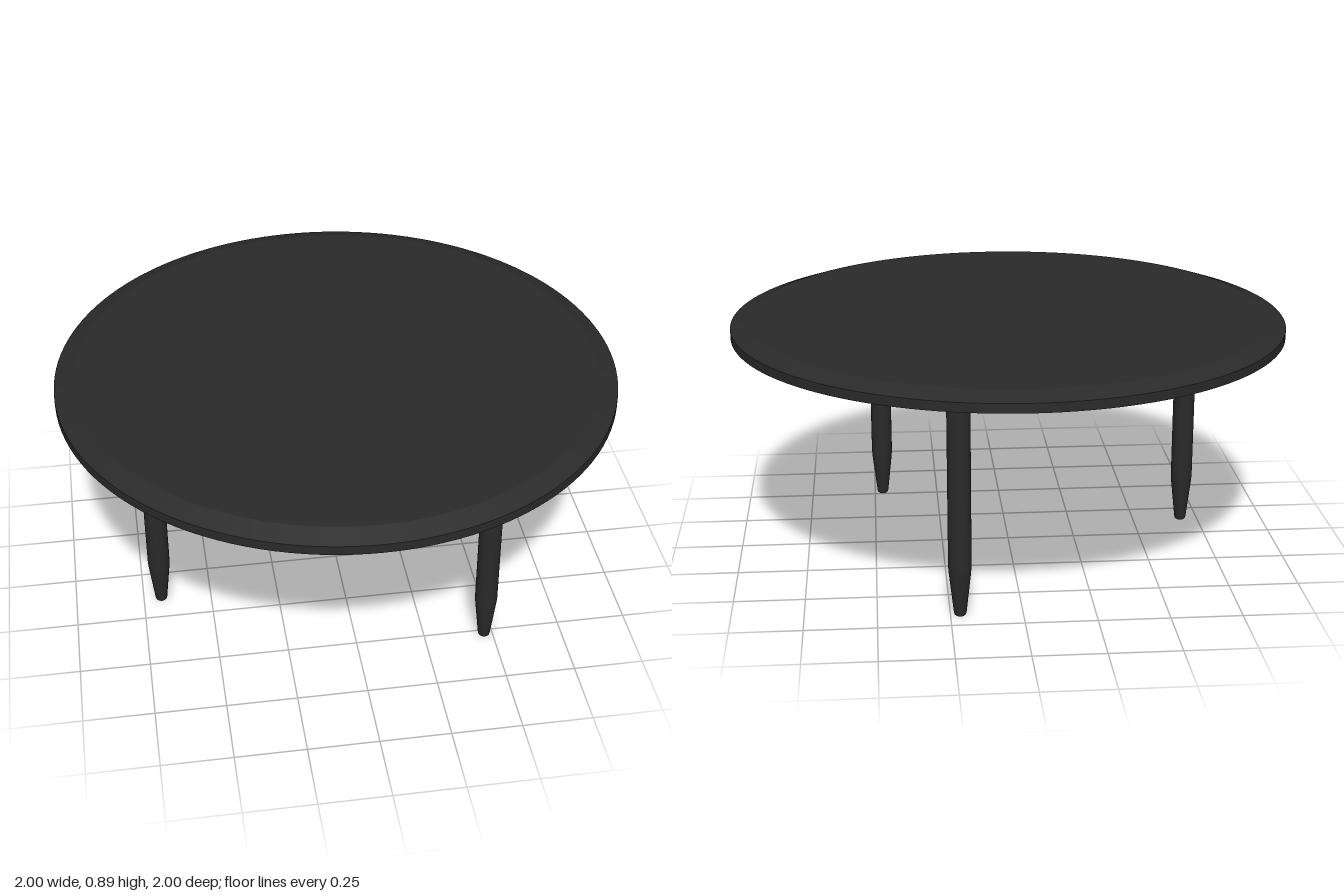
import * as THREE from 'three';
import { toCreasedNormals } from 'three/addons/utils/BufferGeometryUtils.js';

const TOP_BOTTOM = 0.835, TOP_HEIGHT = 0.892, LEG_RING = 0.7;

// Solid of revolution from [radius, height] pairs, bottom to top
function turned(profile, segments) {
  const points = profile.map(([r, y]) => new THREE.Vector2(r, y));
  return toCreasedNormals(new THREE.LatheGeometry(points, segments), 0.25);
}

export function createModel() {
  const table = new THREE.Group();
  table.name = 'roundTable';
  const black = new THREE.MeshStandardMaterial({ color: 0x2a2a2a });
  black.name = 'blackWood';

  function add(name, geometry) {
    const mesh = new THREE.Mesh(geometry, black);
    mesh.name = name;
    table.add(mesh);
    return mesh;
  }

  // Round top with a shallow bevelled rim
  add('tableTop', turned([
    [0, TOP_BOTTOM], [1, TOP_BOTTOM], [1, 0.868], [0.93, TOP_HEIGHT], [0, TOP_HEIGHT],
  ], 128));

  // Three legs with tapered feet, evenly spaced
  const legGeometry = turned([
    [0, 0], [0.016, 0], [0.02, 0.004], [0.022, 0.012],
    [0.038, 0.155], [0.04, 0.18], [0.04, TOP_BOTTOM], [0, TOP_BOTTOM],
  ], 40);
  const feet = [0, 1, 2].map((i) => {
    const a = THREE.MathUtils.degToRad(48 + i * 120);
    return new THREE.Vector3(Math.cos(a) * LEG_RING, 0, Math.sin(a) * LEG_RING);
  });
  feet.forEach((p, i) => add(`leg${i + 1}`, legGeometry).position.copy(p));

  // Thin rails joining the legs in a triangle beneath the top
  const railHeight = TOP_BOTTOM - 0.753;
  feet.forEach((p, i) => {
    const q = feet[(i + 1) % 3];
    const d = q.clone().sub(p);
    const rail = add(`rail${i + 1}`, new THREE.BoxGeometry(d.length() - 0.06, railHeight, 0.036));
    rail.position.copy(p).add(q).multiplyScalar(0.5).setY(TOP_BOTTOM - railHeight / 2);
    rail.rotation.y = Math.atan2(-d.z, d.x);
  });

  return table;
}
